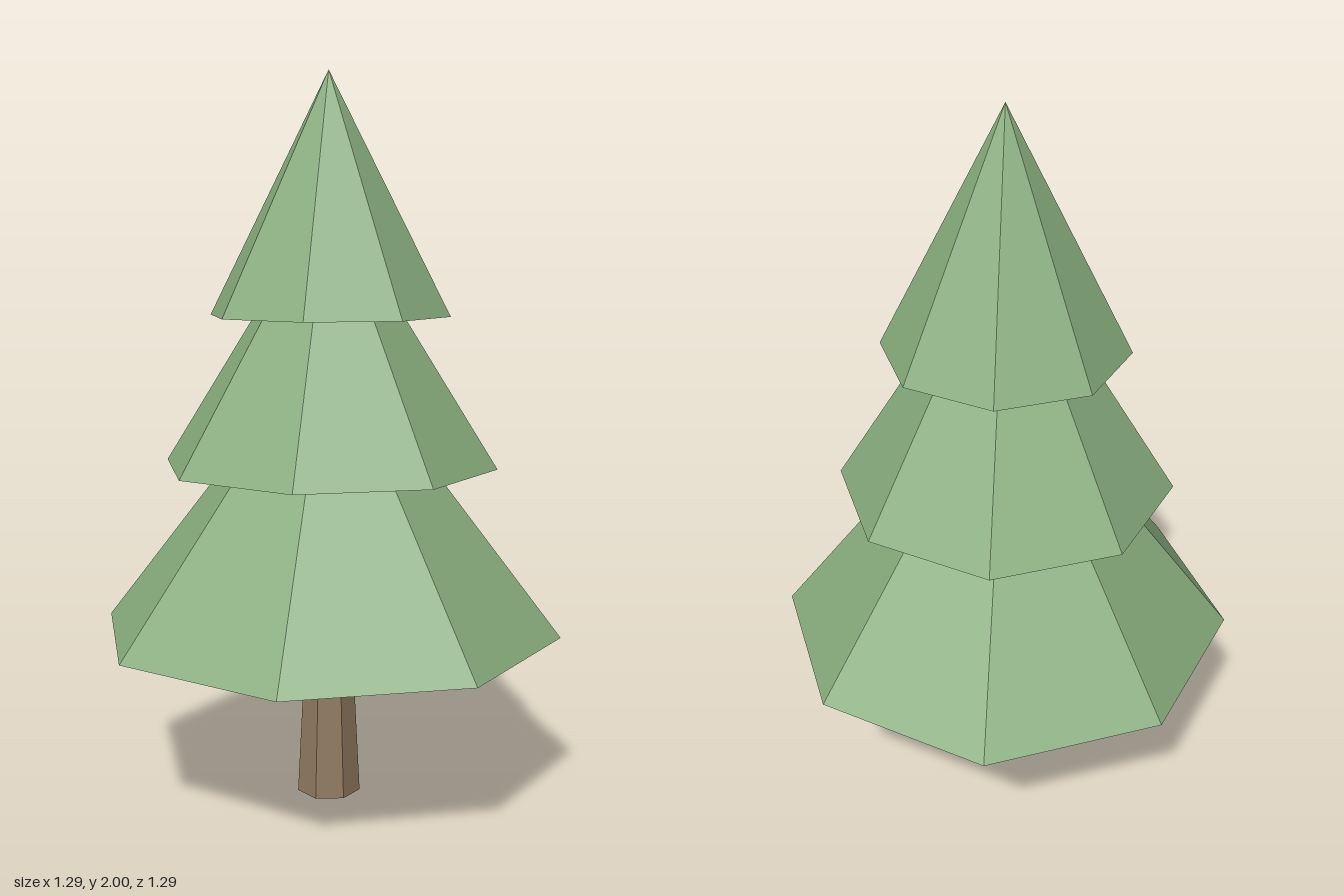
import * as THREE from 'three';

export function createModel() {
  const tree = new THREE.Group();
  tree.name = 'pineTree';

  const needles = new THREE.MeshStandardMaterial({ color: 0x88ad7d, flatShading: true });
  needles.name = 'needleGreen';
  const bark = new THREE.MeshStandardMaterial({ color: 0x917a60, flatShading: true });
  bark.name = 'barkBrown';

  // Seven-sided tapered trunk, one corner facing +x, ending just inside the foliage
  const trunkHeight = 0.5;
  const trunkGeometry = new THREE.CylinderGeometry(0.064, 0.09, trunkHeight, 7);
  trunkGeometry.rotateY(Math.PI / 2);
  const trunk = new THREE.Mesh(trunkGeometry, bark);
  trunk.name = 'trunk';
  trunk.position.y = trunkHeight / 2;
  tree.add(trunk);

  // Three overlapping eight-sided foliage cones
  const tiers = [
    { name: 'lowerFoliage', radius: 0.645, base: 0.48, tip: 1.31 },
    { name: 'middleFoliage', radius: 0.465, base: 0.94, tip: 1.68 },
    { name: 'upperFoliage', radius: 0.333, base: 1.35, tip: 2.0 },
  ];
  for (const { name, radius, base, tip } of tiers) {
    const cone = new THREE.Mesh(new THREE.ConeGeometry(radius, tip - base, 8), needles);
    cone.name = name;
    cone.position.y = (base + tip) / 2;
    tree.add(cone);
  }

  return tree;
}
